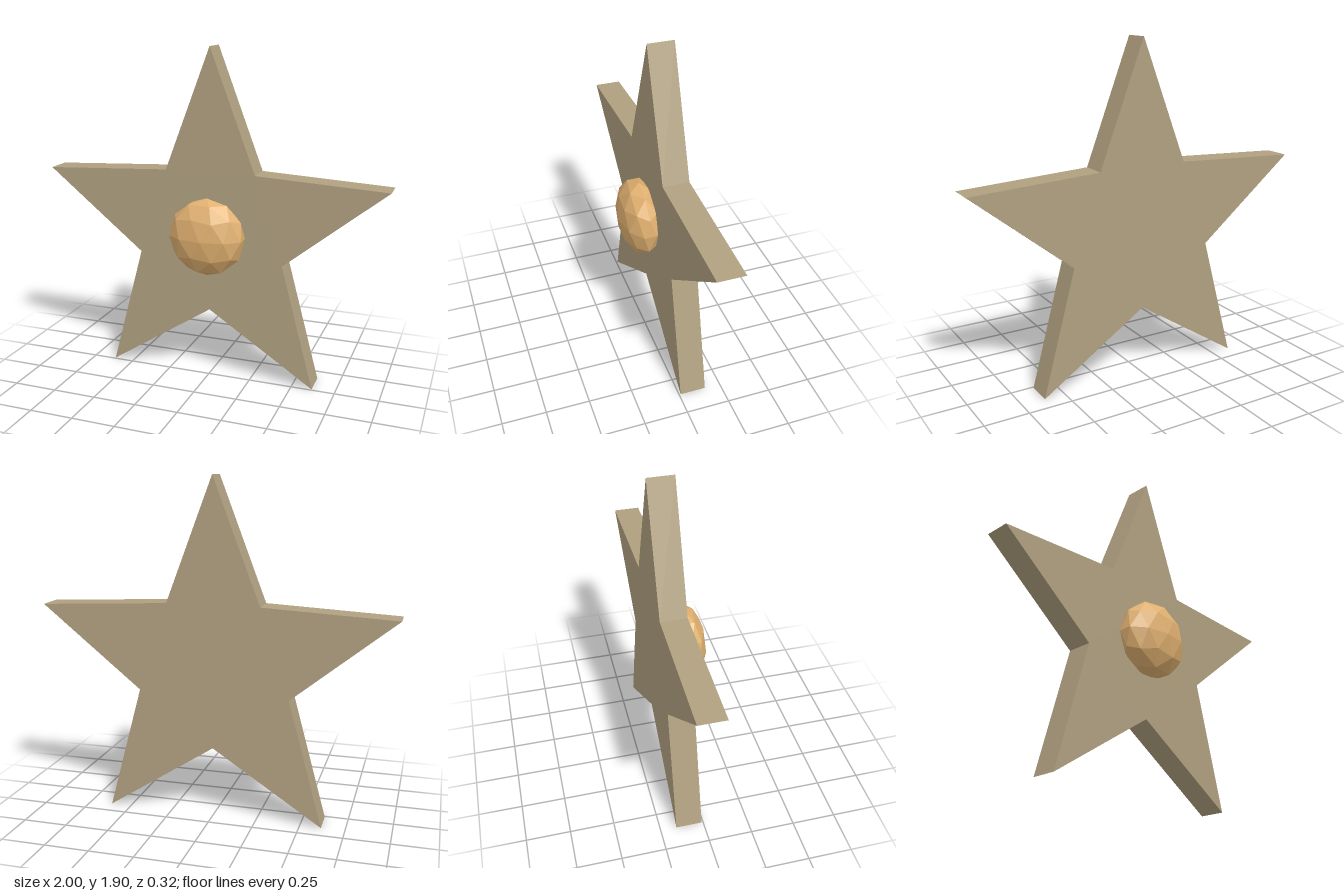
import * as THREE from 'three';

const CENTRE_Y = 0.851;

// Five-pointed outline with one tip straight up
function starShape(outer, inner) {
  const points = [];
  for (let i = 0; i < 10; i++) {
    const r = i % 2 ? inner : outer;
    const a = Math.PI / 2 + (i * Math.PI) / 5;
    points.push(new THREE.Vector2(r * Math.cos(a), r * Math.sin(a)));
  }
  return new THREE.Shape(points);
}

export function createModel() {
  const model = new THREE.Group();
  model.name = 'starOrnament';

  // Flat star plate
  const plate = new THREE.Mesh(
    new THREE.ExtrudeGeometry(starShape(1.0515, 0.448), { depth: 0.149, bevelEnabled: false }),
    new THREE.MeshStandardMaterial({ color: 0xb0a080, flatShading: true })
  );
  plate.name = 'starPlate';
  plate.position.set(0, CENTRE_Y, -0.158);
  model.add(plate);

  // Faceted stud, turned so a corner points up, flattened front to back
  const studGeometry = new THREE.IcosahedronGeometry(1, 1);
  studGeometry.rotateX(-Math.atan((1 + Math.sqrt(5)) / 2));
  studGeometry.rotateY(Math.PI / 2);
  studGeometry.scale(0.224, 0.224, 0.121);
  const stud = new THREE.Mesh(
    studGeometry,
    new THREE.MeshStandardMaterial({ color: 0xe0b070, flatShading: true })
  );
  stud.name = 'centreStud';
  stud.position.set(0, CENTRE_Y + 0.002, 0.037);
  model.add(stud);

  return model;
}
